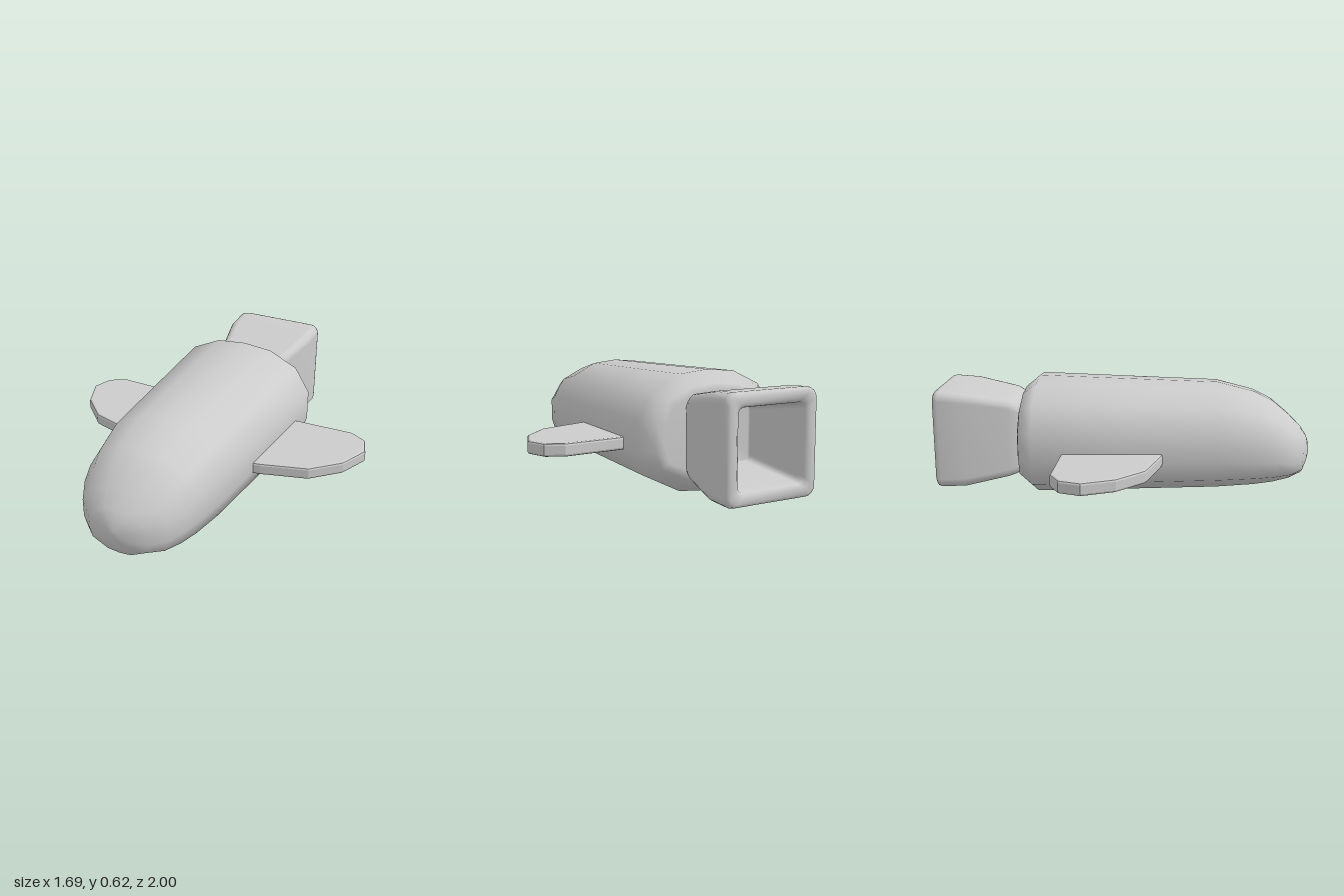
import * as THREE from 'three';

const material = new THREE.MeshStandardMaterial({ color: 0xcccccc });

// Skin a series of closed [x, y, z] rings (counter-clockwise from +z) and cap both ends.
function loft(rings) {
  const n = rings[0].length;
  const positions = rings.flat(2);
  const index = [];
  for (let i = 0; i < rings.length - 1; i++) {
    for (let j = 0; j < n; j++) {
      const k = (j + 1) % n;
      const a = i * n + j, b = i * n + k, c = b + n, d = a + n;
      index.push(a, b, c, a, c, d);
    }
  }
  [rings[0], rings[rings.length - 1]].forEach((ring, end) => {
    const centre = positions.length / 3;
    for (let axis = 0; axis < 3; axis++) {
      positions.push(ring.reduce((sum, p) => sum + p[axis], 0) / n);
    }
    const base = end ? (rings.length - 1) * n : 0;
    for (let j = 0; j < n; j++) {
      const k = (j + 1) % n;
      if (end) index.push(centre, base + j, base + k);
      else index.push(centre, base + k, base + j);
    }
  });
  const geometry = new THREE.BufferGeometry();
  geometry.setAttribute('position', new THREE.Float32BufferAttribute(positions, 3));
  geometry.setIndex(index);
  geometry.computeVertexNormals();
  return geometry;
}

function createBody() {
  // Right half of the hull section: share of half width, share of height.
  const half = [[0, 0], [0.4, 0.025], [0.91, 0.19], [1, 0.37], [1, 0.64], [0.79, 0.855], [0.4, 0.975], [0, 1]];
  const section = [...half, ...half.slice(1, -1).reverse().map(([u, v]) => [-u, v])];
  // z, half width, bottom, top
  const stations = [
    [-0.545, 0.3, 0.11, 0.53],
    [-0.535, 0.345, 0.07, 0.565],
    [-0.46, 0.405, 0.005, 0.627],
    [0.02, 0.375, 0.02, 0.613],
    [0.5, 0.343, 0.037, 0.6],
    [0.7, 0.31, 0.052, 0.55],
    [0.8, 0.28, 0.065, 0.5],
    [0.89, 0.235, 0.085, 0.425],
    [0.955, 0.16, 0.11, 0.36],
    [0.985, 0.08, 0.16, 0.315],
    [1, 0.03, 0.21, 0.27],
  ];
  const rings = stations.map(([z, w, y0, y1]) => section.map(([u, v]) => [u * w, y0 + v * (y1 - y0), z]));
  return new THREE.Mesh(loft(rings), material);
}

// Rounded rectangle ring
function roundedRing([z, w, y0, y1, r]) {
  const cy = (y0 + y1) / 2, h = (y1 - y0) / 2;
  const ring = [];
  [[1, 1], [-1, 1], [-1, -1], [1, -1]].forEach(([sx, sy], corner) => {
    for (let s = 0; s <= 4; s++) {
      const angle = (corner + s / 4) * Math.PI / 2;
      ring.push([sx * (w - r) + Math.cos(angle) * r, cy + sy * (h - r) + Math.sin(angle) * r, z]);
    }
  });
  return ring;
}

function createNozzle() {
  // z, half width, bottom, top, corner radius: from the inner floor, over the rim, to the hull
  const stations = [
    [-0.62, 0.14, 0.18, 0.455, 0.03],
    [-0.63, 0.145, 0.175, 0.46, 0.03],
    [-0.95, 0.185, 0.13, 0.505, 0.03],
    [-0.985, 0.192, 0.122, 0.512, 0.032],
    [-1, 0.21, 0.105, 0.53, 0.035],
    [-1, 0.24, 0.075, 0.56, 0.04],
    [-0.99, 0.256, 0.059, 0.576, 0.05],
    [-0.97, 0.262, 0.054, 0.581, 0.05],
    [-0.84, 0.26, 0.06, 0.572, 0.05],
    [-0.61, 0.211, 0.105, 0.53, 0.045],
    [-0.57, 0.195, 0.118, 0.51, 0.045],
    [-0.53, 0.17, 0.14, 0.49, 0.045],
  ];
  return new THREE.Mesh(loft(stations.map(roundedRing)), material);
}

function createWingGeometry() {
  // Plan outline as x, z
  const outline = [
    [0.34, -0.305], [0.42, -0.31], [0.72, -0.32], [0.81, -0.27], [0.847, -0.16],
    [0.78, 0], [0.64, 0.135], [0.4, 0.205], [0.34, 0.215],
  ];
  const shape = new THREE.Shape(outline.map(([x, z]) => new THREE.Vector2(x, z)));
  const bevel = 0.012;
  const geometry = new THREE.ExtrudeGeometry(shape, {
    depth: 0.066 - 2 * bevel, bevelThickness: bevel, bevelSize: bevel, bevelOffset: -bevel, bevelSegments: 2,
  });
  geometry.translate(0, 0, bevel - 0.033);
  geometry.rotateX(Math.PI / 2);
  return geometry;
}

export function createModel() {
  const model = new THREE.Group();
  model.name = 'rocketShip';

  const body = createBody();
  body.name = 'body';
  const nozzle = createNozzle();
  nozzle.name = 'nozzle';
  model.add(body, nozzle);

  // The wings are symmetric in thickness, so half a turn mirrors them
  const wingGeometry = createWingGeometry();
  for (const [name, turn] of [['leftWing', 0], ['rightWing', Math.PI]]) {
    const wing = new THREE.Mesh(wingGeometry, material);
    wing.name = name;
    wing.position.y = 0.263;
    wing.rotation.z = turn;
    model.add(wing);
  }
  return model;
}
